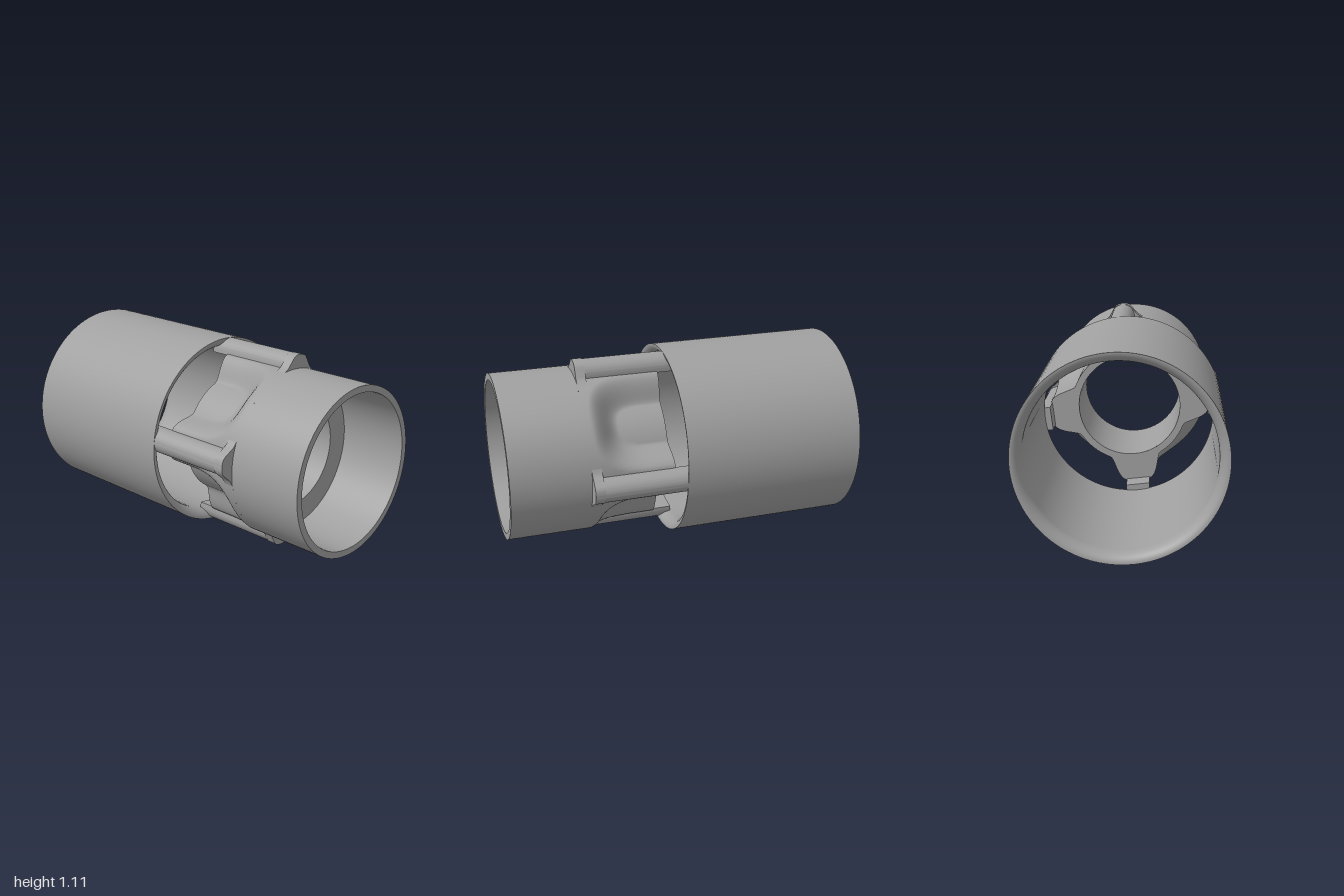
import * as THREE from 'three';
import { toCreasedNormals } from 'three/addons/utils/BufferGeometryUtils.js';
import { ParametricGeometry } from 'three/addons/geometries/ParametricGeometry.js';

const AXIS_Y = 0.556, TWIST = -0.12;
const BACK = 0.085, SHOULDER = 0.56, TUBE_R = 0.476, BORE_R = 0.305;

export function createModel() {
  const grey = new THREE.MeshStandardMaterial({ color: 0xa0a0a0 });
  grey.name = 'grey';
  const model = new THREE.Group();
  model.position.y = AXIS_Y;
  const root = new THREE.Group();
  root.name = 'coupling';
  root.add(model);

  const add = (name, geometry, parent = model) => {
    const mesh = new THREE.Mesh(geometry, grey);
    mesh.name = name;
    parent.add(mesh);
    return mesh;
  };
  // Turned surface about the z axis; points are [radius, z]
  const turned = (name, points) => {
    const pts = points.map(([r, z]) => new THREE.Vector2(r, z));
    return add(name, new THREE.LatheGeometry(pts, 128).rotateX(Math.PI / 2));
  };

  // Rear sleeve with rounded, flared mouths at both ends
  turned('sleeveOuter', [[0.555, -1], [0.555, 0.035]]);
  const inner = [];
  for (let i = 0; i <= 10; i++) {
    const a = (i / 10) * Math.PI / 2;
    inner.push([0.5 + 0.055 * (1 - Math.sin(a)), 0.035 - 0.07 * (1 - Math.cos(a))]);
  }
  const rear = inner.map(([r, z]) => [r, -0.965 - z]).reverse();
  turned('sleeveInner', [...inner, ...rear]);

  // Front socket: outer wall, rim, inner wall, shelf and bore
  const profile = [[TUBE_R, SHOULDER], [TUBE_R, 1], [0.438, 1], [0.438, 0.6], [BORE_R, 0.6], [BORE_R, BACK]];
  ['socketOuter', 'socketRim', 'socketInner', 'socketShelf', 'bore'].forEach((name, i) =>
    turned(name, [profile[i], profile[i + 1]]));

  // Middle body: four smooth scoops between the ribs
  const smooth = (a, b, x) => THREE.MathUtils.smoothstep(x, a, b);
  const bodyRadius = (theta, z) => {
    const q = Math.PI / 2;
    const t = (((theta - TWIST) % q) + q) % q - q / 2;
    const v = Math.abs(t) / 0.64;
    const u = Math.max(0, z - 0.18) / 0.35;
    const d = Math.cbrt(u ** 3 + v ** 3);
    return TUBE_R - 0.13 * (1 - smooth(0.5, 1, d));
  };
  add('scoopedBody', new ParametricGeometry((u, v, p) => {
    const a = u * Math.PI * 2, z = BACK + v * (SHOULDER - BACK), r = bodyRadius(a, z);
    p.set(r * Math.cos(a), r * Math.sin(a), z);
  }, 160, 40));
  add('bodyBackFace', new ParametricGeometry((u, v, p) => {
    const a = u * Math.PI * 2, r = BORE_R + v * (bodyRadius(a, BACK) - BORE_R);
    p.set(r * Math.cos(a), r * Math.sin(a), BACK);
  }, 160, 1));

  // Ribs joining body and sleeve
  const extrude = (shape, z0, z1) => toCreasedNormals(
    new THREE.ExtrudeGeometry(shape, { depth: z1 - z0, bevelEnabled: false, curveSegments: 16 })
      .translate(0, 0, z0), 0.6);
  const stem = new THREE.Shape();
  stem.moveTo(-0.07, 0.463);
  stem.lineTo(0.07, 0.463);
  stem.lineTo(0.07, 0.484);
  stem.absarc(0, 0.484, 0.07, 0, Math.PI, false);
  stem.closePath();

  // Flared foot at the front end of each rib
  const flare = [[0.13, 0.455], [0.095, 0.478], [0.072, 0.508], [0.042, 0.545], [0, 0.5545]];
  const footShape = (leftFlare) => {
    const left = leftFlare ? flare : [[0.07, 0.468], [0.07, 0.49], [0.06, 0.52], [0.04, 0.545], [0, 0.5545]];
    const pts = [...flare, ...left.slice(0, -1).reverse().map(([x, y]) => [-x, y])];
    const shape = new THREE.Shape();
    shape.moveTo(0.1, 0.44);
    shape.lineTo(...pts[0]);
    shape.splineThru(pts.slice(1).map(([x, y]) => new THREE.Vector2(x, y)));
    shape.lineTo(leftFlare ? -0.1 : -0.07, 0.44);
    shape.closePath();
    return shape;
  };
  for (let i = 0; i < 4; i++) {
    const rib = new THREE.Group();
    rib.name = 'rib';
    rib.rotation.z = TWIST + i * Math.PI / 2;
    add('ribStem', extrude(stem, -0.03, 0.553), rib);
    // the bottom rib is flared on one side only
    add('ribFoot', extrude(footShape(true && i !== 2), 0.5, 0.556), rib);
    model.add(rib);
  }
  return root;
}
